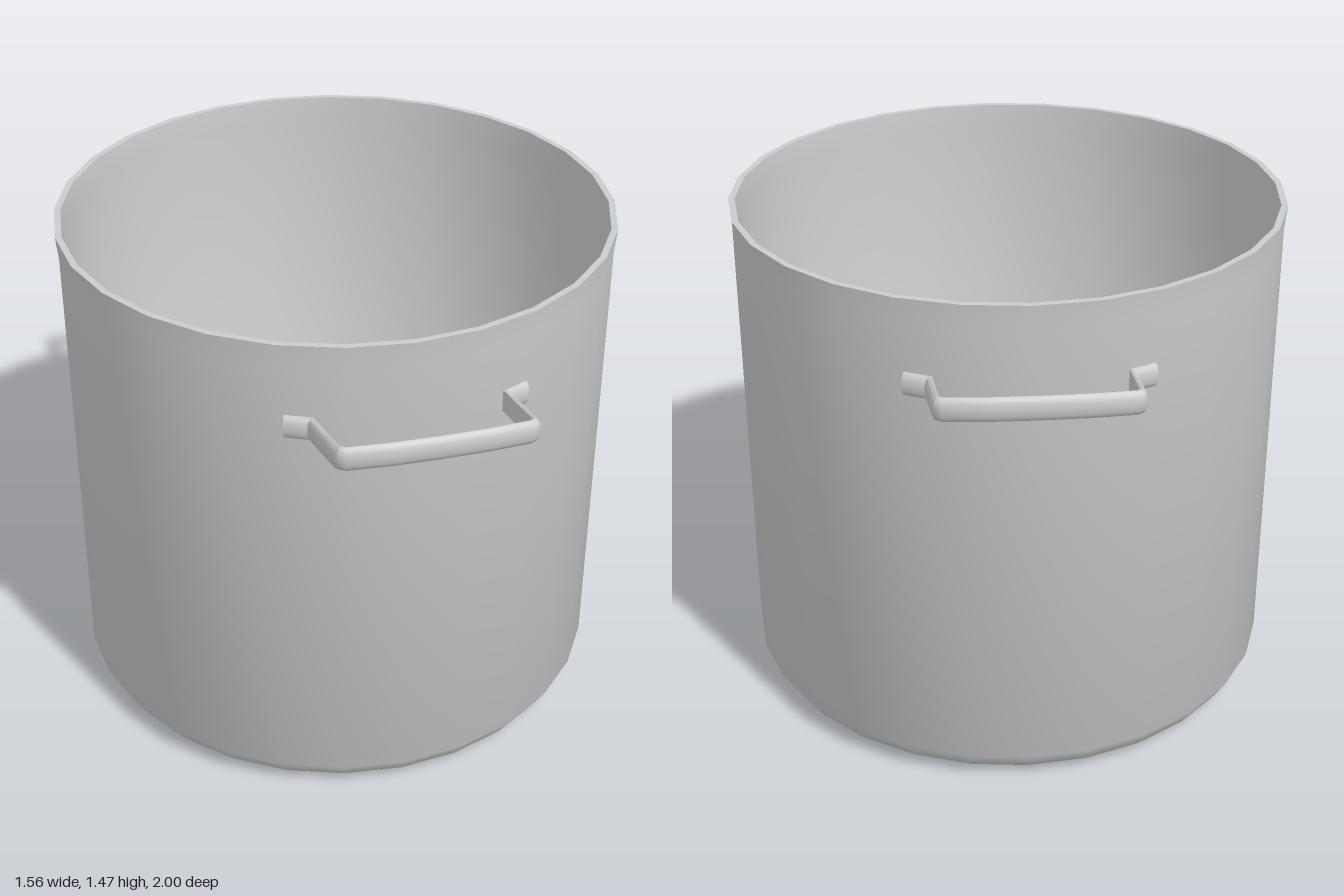
import * as THREE from 'three';
import { toCreasedNormals } from 'three/addons/utils/BufferGeometryUtils.js';

const material = new THREE.MeshStandardMaterial({ color: 0xcccccc });
const vec = ([x, y]) => new THREE.Vector2(x, y);

// Hollow pot turned from one closed profile: underside, wall, flared rim, inside
function makePot() {
  const profile = [
    [0, 0], [0.70, 0], [0.74, 0.033], [0.772, 0.085],
    [0.772, 1.4], [0.778, 1.468], [0.76, 1.468], [0.754, 1.4],
    [0.754, 0.095], [0.725, 0.048], [0.69, 0.02], [0, 0.02],
  ].map(vec);
  const geometry = toCreasedNormals(new THREE.LatheGeometry(profile, 28), 0.78);
  const pot = new THREE.Mesh(geometry, material);
  pot.name = 'pot';
  return pot;
}

// Strap swept along a path of [x, y, z] points with mitred corners;
// section points are [outward, up]
function sweepStrap(path, section) {
  const normal = (a, b) => new THREE.Vector2(b[2] - a[2], a[0] - b[0]).normalize();
  const positions = [], index = [], n = section.length, last = path.length - 1;
  path.forEach((p, i) => {
    const before = normal(path[Math.max(i - 1, 0)], path[Math.max(i, 1)]);
    const after = normal(path[Math.min(i, last - 1)], path[Math.min(i + 1, last)]);
    const mitre = before.clone().add(after).normalize();
    mitre.divideScalar(mitre.dot(before));
    for (const [out, up] of section) {
      positions.push(p[0] + mitre.x * out, p[1] + up, p[2] + mitre.y * out);
    }
  });
  for (let i = 0; i < last; i++) {
    for (let j = 0; j < n; j++) {
      const a = i * n + j, b = i * n + (j + 1) % n;
      index.push(a, b, b + n, a, b + n, a + n);
    }
  }
  // End caps
  for (let j = 1; j < n - 1; j++) {
    index.push(0, j + 1, j, last * n, last * n + j, last * n + j + 1);
  }
  const geometry = new THREE.BufferGeometry();
  geometry.setAttribute('position', new THREE.Float32BufferAttribute(positions, 3));
  geometry.setIndex(index);
  return toCreasedNormals(geometry, 0.8);
}

// Handle: a tab on the wall, a rising leg and a slightly bowed grip, mirrored in x
function makeHandle(name) {
  const half = [
    [0.32, 1.232, 0.706], [0.258, 1.232, 0.734], [0.25, 1.29, 0.955],
    [0.246, 1.297, 0.971], [0.232, 1.297, 0.98], [0.12, 1.297, 0.988],
  ];
  const path = [...half, [0, 1.297, 0.99], ...half.map(([x, y, z]) => [-x, y, z]).reverse()];
  // Flat on the inside, rounded on the outside
  const section = [
    [-0.01, -0.03], [-0.005, -0.0325], [0.003, -0.029], [0.009, -0.016],
    [0.01, 0], [0.009, 0.016], [0.003, 0.029], [-0.005, 0.0325], [-0.01, 0.03],
  ];
  const handle = new THREE.Mesh(sweepStrap(path, section), material);
  handle.name = name;
  return handle;
}

export function createModel() {
  const group = new THREE.Group();
  group.name = 'stockPot';
  const back = makeHandle('backHandle');
  back.rotation.y = Math.PI;
  group.add(makePot(), makeHandle('frontHandle'), back);
  return group;
}
